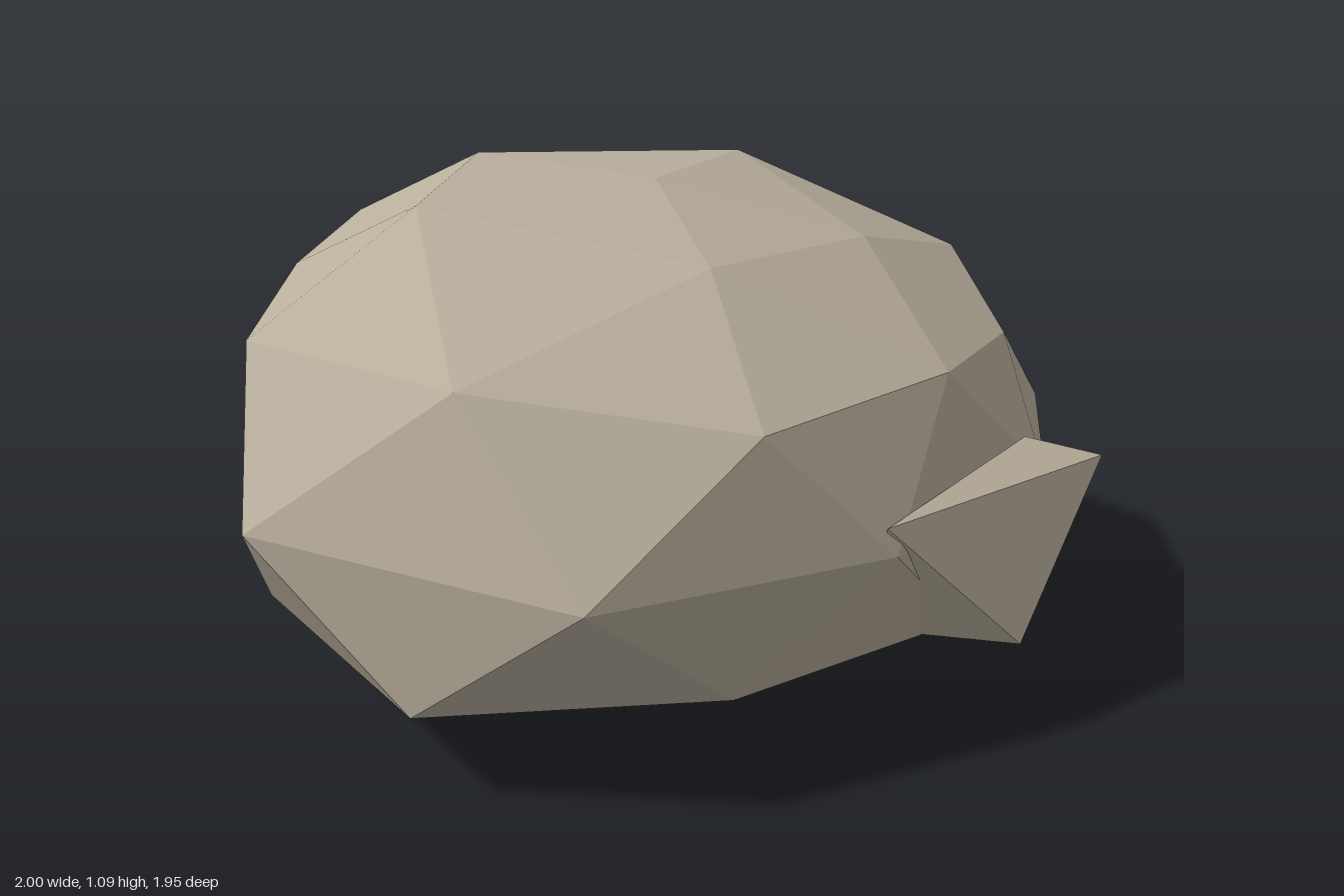
import * as THREE from 'three';
import { ConvexGeometry } from 'three/addons/geometries/ConvexGeometry.js';

const stone = new THREE.MeshStandardMaterial({ color: 0xb8ae9c, flatShading: true });
stone.name = 'stone';

// Faceted hull through a set of corner points
function facetedStone(name, corners) {
  const points = corners.map(([x, y, z]) => new THREE.Vector3(x, y, z));
  const mesh = new THREE.Mesh(new ConvexGeometry(points), stone);
  mesh.name = name;
  return mesh;
}

export function createModel() {
  const group = new THREE.Group();
  group.name = 'rock';

  // Boulder: irregular cross-sections from crown to base
  const crown = [
    [0, 1.09, 0], [-0.515, 1.09, -0.105], [0, 1.075, -0.475],
    [0.437, 0.97, -0.155], [0.29, 1.0, 0.36], [-0.35, 1.08, 0.43],
  ];
  const shoulder = [
    [-0.56, 0.95, -0.64], [0, 0.87, -0.864], [0.5, 0.85, -0.65], [0.73, 0.75, -0.29], [0.73, 0.785, 0.16],
    [0.51, 0.76, 0.61], [-0.02, 0.84, 0.84], [-0.6, 0.83, 0.7], [-0.785, 0.875, 0.27], [-0.925, 0.895, -0.195],
  ];
  const waist = [
    [-0.38, 0.615, -0.98], [0.28, 0.565, -0.86], [0.75, 0.52, -0.575], [0.88, 0.49, -0.13], [0.72, 0.48, 0.42],
    [0.295, 0.485, 0.93], [-0.43, 0.53, 0.97], [-0.777, 0.58, 0.5], [-1, 0.61, 0.055], [-0.945, 0.585, -0.54],
  ];
  const skirt = [
    [-0.68, 0.31, -0.755], [0, 0.3, -0.77], [0.47, 0.32, -0.69], [0.74, 0.3, -0.24], [0.79, 0.25, 0.18],
    [0.44, 0.175, 0.57], [-0.085, 0.195, 0.937], [-0.62, 0.235, 0.66], [-0.85, 0.35, 0.27], [-1, 0.27, -0.24],
  ];
  const base = [
    [-0.02, 0, -0.04], [0.57, 0.16, 0.1], [-0.085, 0.01, 0.445],
    [-0.595, 0.07, 0.15], [-0.32, 0.04, -0.4], [0.37, 0.075, -0.425],
  ];
  group.add(facetedStone('boulder', [...crown, ...shoulder, ...waist, ...skirt, ...base]));

  // Sharp chip jutting from the left flank
  group.add(facetedStone('shard', [
    [1, 0.555, -0.12], [0.92, 0.225, 0.18], [0.7, 0.54, 0.43], [0.85, 0.6, -0.04],
    [0.87, 0.53, -0.16], [0.8, 0.33, -0.2], [0.61, 0.25, 0.3],
  ]));

  return group;
}
